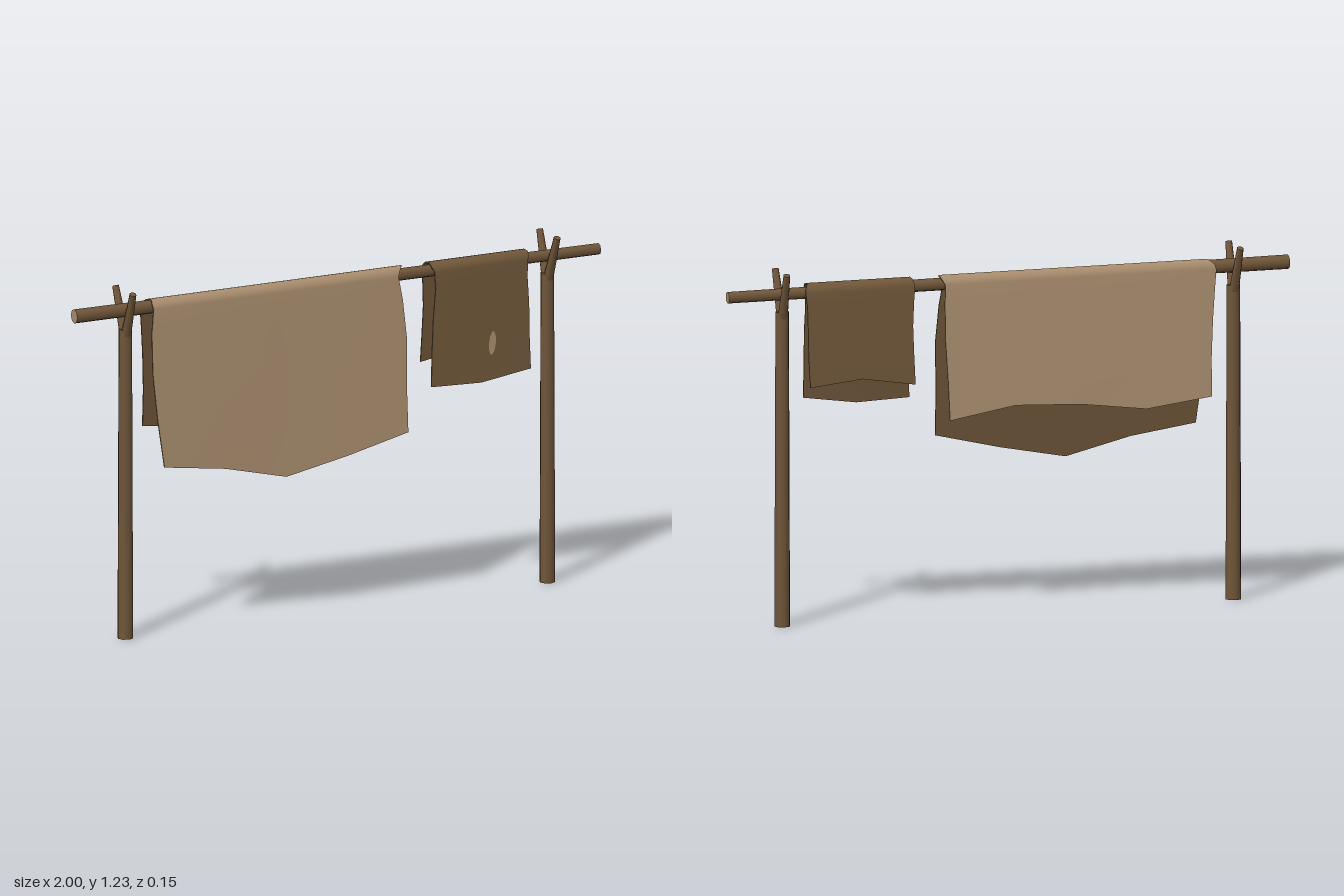
import * as THREE from 'three';

const material = (name, color) => {
  const m = new THREE.MeshStandardMaterial({ color });
  m.name = name;
  return m;
};

const V = (x, y, z) => new THREE.Vector3(x, y, z);

// Tapered rod between two points
function rod(name, a, b, ra, rb, mat) {
  const mesh = new THREE.Mesh(new THREE.CylinderGeometry(rb, ra, a.distanceTo(b), 8), mat);
  mesh.name = name;
  mesh.position.copy(a).add(b).multiplyScalar(0.5);
  mesh.quaternion.setFromUnitVectors(V(0, 1, 0), b.clone().sub(a).normalize());
  return mesh;
}

const AXIS_Y = 1.154, ARCH = 0.031, THICK = 0.005;

// Cloth draped over the pole: rows run from the front hem, over the top, to the back hem
function drape(name, { cols, frontHem, backHem, zFront, zBack, left, right }, outerMat, innerMat) {
  const fractions = [1, 0.7, 0.4, 0.15];
  const rows = [
    ...fractions.map((f) => ({ f, side: 1 })),
    ...[0, 1, 2, 3, 4, 5, 6].map((k) => ({ angle: (k / 6) * Math.PI })),
    ...fractions.slice().reverse().map((f) => ({ f, side: -1 })),
  ];
  const point = (i, j, inset) => {
    const r = rows[j], u = i / (cols - 1);
    const x = THREE.MathUtils.lerp(left[j], right[j], u);
    if (r.angle !== undefined) {
      const rad = ARCH - inset;
      return V(x, AXIS_Y + rad * Math.sin(r.angle), rad * Math.cos(r.angle));
    }
    const hem = r.side > 0 ? frontHem[i] : backHem[i];
    const depth = ARCH + ((r.side > 0 ? zFront : zBack) - ARCH) * r.f;
    return V(x, THREE.MathUtils.lerp(AXIS_Y, hem, r.f), r.side * (depth - inset));
  };
  const sheet = (inset, flip) => {
    const pts = [], index = [];
    for (let j = 0; j < rows.length; j++)
      for (let i = 0; i < cols; i++) {
        pts.push(point(i, j, inset));
        if (i === cols - 1 || j === rows.length - 1) continue;
        const a = j * cols + i, b = a + 1, c = b + cols, d = a + cols;
        index.push(...(flip ? [a, c, b, a, d, c] : [a, b, c, a, c, d]));
      }
    const g = new THREE.BufferGeometry().setFromPoints(pts);
    g.setIndex(index);
    g.computeVertexNormals();
    return g;
  };
  // Thin rim joining the two faces around the border
  const rimGeometry = () => {
    const loop = [], pts = [], n = rows.length;
    for (let i = 0; i < cols - 1; i++) loop.push([i, 0]);
    for (let j = 0; j < n - 1; j++) loop.push([cols - 1, j]);
    for (let i = cols - 1; i > 0; i--) loop.push([i, n - 1]);
    for (let j = n - 1; j > 0; j--) loop.push([0, j]);
    loop.forEach((p, k) => {
      const q = loop[(k + 1) % loop.length];
      const a = point(...p, 0), b = point(...p, THICK), c = point(...q, THICK), d = point(...q, 0);
      pts.push(a, b, c, a, c, d);
    });
    const g = new THREE.BufferGeometry().setFromPoints(pts);
    g.computeVertexNormals();
    return g;
  };
  const group = new THREE.Group();
  group.name = name;
  const add = (part, geo, mat) => {
    const m = new THREE.Mesh(geo, mat);
    m.name = name + part;
    group.add(m);
  };
  add('Outside', sheet(0, false), outerMat);
  add('Lining', sheet(THICK, true), innerMat);
  add('Rim', rimGeometry(), innerMat);
  return group;
}

export function createModel() {
  const wood = material('wood', 0x70563a);
  const tan = material('tan hide', 0xa98d6e);
  const brown = material('brown hide', 0x70573a);
  const model = new THREE.Group();
  model.name = 'dryingRack';

  // Forked posts
  for (const s of [-1, 1]) {
    const x = s * 0.805;
    model.add(rod('post', V(x, 0, 0), V(x, 1.09, 0), 0.028, 0.024, wood));
    for (const f of [-1, 1])
      model.add(rod('forkBranch', V(x, 1.07, f * 0.006), V(x + s * 0.004, 1.228, f * 0.066), 0.018, 0.012, wood));
  }

  // Cross pole with pale cut ends
  model.add(rod('crossPole', V(-1, 1.158, 0), V(1, 1.15, 0), 0.025, 0.02, [wood, tan, tan]));

  // Large hide
  model.add(drape('largeHide', {
    cols: 5,
    frontHem: [0.605, 0.572, 0.515, 0.56, 0.615],
    backHem: [0.72, 0.69, 0.72, 0.73, 0.69],
    zFront: 0.075, zBack: 0.066,
    left: [-0.693, -0.712, -0.724, -0.722, -0.712, -0.715, -0.712, -0.71, -0.718, -0.73, -0.735, -0.728, -0.718, -0.71, -0.708],
    right: [0.237, 0.238, 0.245, 0.235, 0.222, 0.228, 0.238, 0.248, 0.246, 0.24, 0.232, 0.235, 0.236, 0.23, 0.226],
  }, tan, brown));

  // Small hide
  model.add(drape('smallHide', {
    cols: 3,
    frontHem: [0.757, 0.75, 0.777],
    backHem: [0.82, 0.85, 0.83],
    zFront: 0.056, zBack: 0.052,
    left: [0.335, 0.341, 0.35, 0.362, 0.36, 0.352, 0.349, 0.35, 0.345, 0.342, 0.34, 0.345, 0.35, 0.348, 0.345],
    right: [0.714, 0.713, 0.715, 0.712, 0.716, 0.72, 0.722, 0.716, 0.722, 0.728, 0.73, 0.725, 0.724, 0.724, 0.72],
  }, brown, brown));

  // Small worn spot on the small hide
  const spot = new THREE.Mesh(new THREE.CircleGeometry(1, 10), tan);
  spot.name = 'wornSpot';
  spot.scale.set(0.013, 0.042, 1);
  spot.position.set(0.571, 0.882, 0.0485);
  spot.rotation.set(-0.062, 0, -0.12);
  model.add(spot);

  return model;
}
